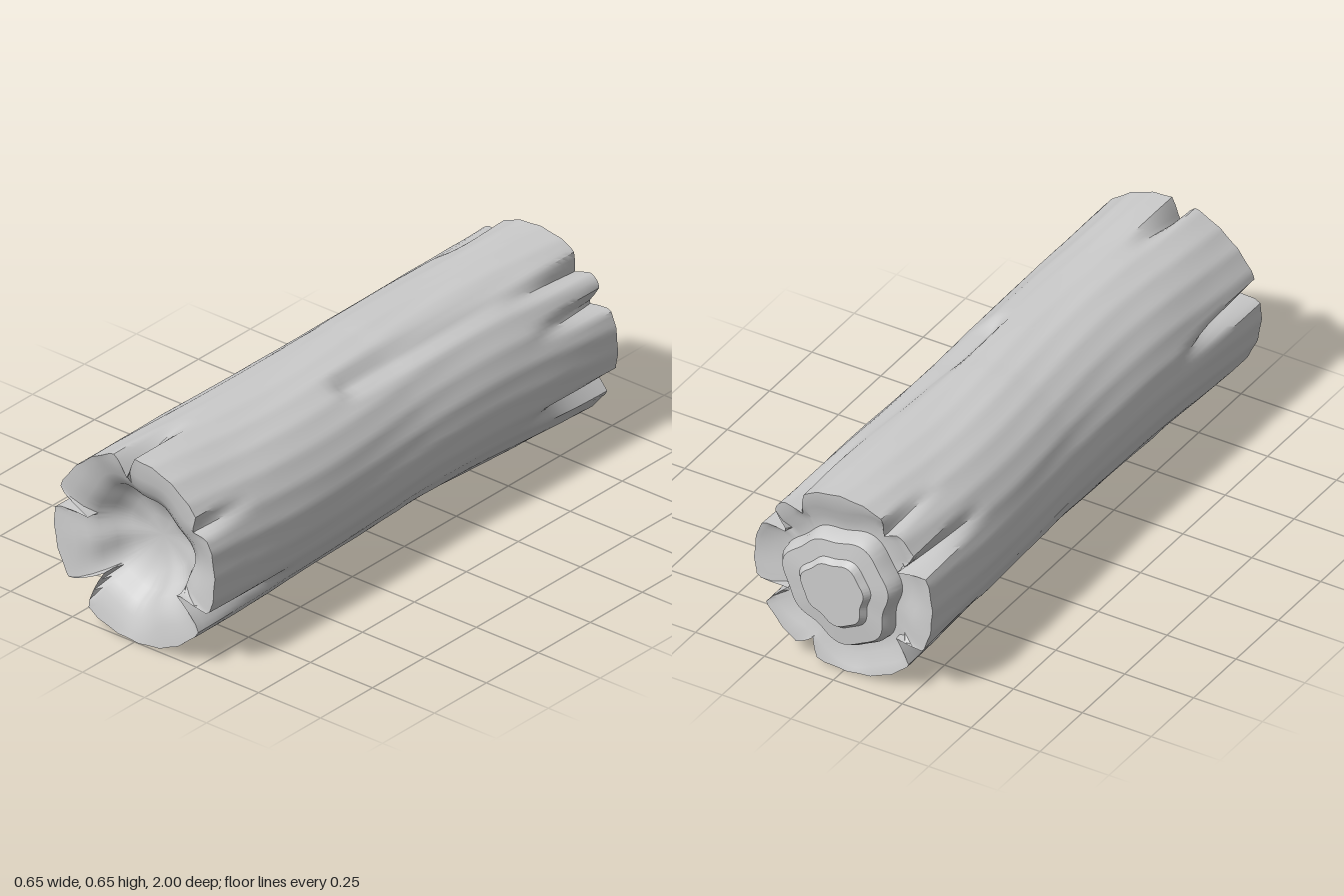
import * as THREE from 'three';
import { toCreasedNormals } from 'three/addons/utils/BufferGeometryUtils.js';

const SIDES = 144;
const RAD = Math.PI / 180;
const material = new THREE.MeshStandardMaterial({ color: 0xcccccc, side: THREE.DoubleSide });

// Splits in the bark: [angle, depth, half width, z at the end, length]
const splits = [
  [165, 0.13, 6, 1, 0.45], [225, 0.15, 9, 1, 0.5], [-29, 0.15, 7, 1, 0.45],
  [97, 0.08, 7, 1, 0.3], [33, 0.05, 7, 1, 0.25],
  [150, 0.1, 7, -0.94, 0.4], [122, 0.05, 6, -0.94, 0.3], [55, 0.06, 8, -0.94, 0.4],
  [31, 0.09, 7, -0.94, 0.35], [-22, 0.11, 8, -0.94, 0.4], [-65, 0.06, 7, -0.94, 0.3],
  [215, 0.09, 8, -0.94, 0.4],
];

const centreY = z => 0.328 + 0.012 * Math.max(0, 1 - Math.abs(z + 0.1) / 0.8);

// Outer radius of the trunk: slim waist, ridged bark, splits and one long groove
function barkRadius(a, z) {
  let r = 0.327 - 0.017 * Math.max(0, 1 - Math.abs(z + 0.05) / 0.95);
  r -= 0.004 * Math.abs(Math.sin(a * 12 + 0.8 * Math.sin(z * 4)));
  r -= 0.005 * (0.5 + 0.5 * Math.sin(a * 5 + z * 3)) * (0.5 + 0.5 * Math.sin(z * 7 + a * 3));
  const gap = deg => Math.abs(Math.atan2(Math.sin(a - deg * RAD), Math.cos(a - deg * RAD))) / RAD;
  for (const [deg, depth, width, end, length] of splits) {
    const along = Math.max(0, 1 - Math.abs(z - end) / length);
    r -= depth * Math.pow(along, 1.3) * Math.max(0, 1 - gap(deg) / width);
  }
  // groove with an abrupt front end
  if (z < 0.22) {
    const along = Math.min(1, (0.22 - z) / 0.06) * Math.max(0, Math.min(1, (z + 0.75) / 0.7));
    r -= 0.03 * along * Math.max(0, 1 - gap(61) / 11);
  }
  return r;
}

// Skins a row of closed rings; point(ring, angle) gives a position
function loft(name, rings, point) {
  const positions = [], index = [];
  rings.forEach((ring, i) => {
    for (let j = 0; j < SIDES; j++) {
      positions.push(...point(ring, (j / SIDES) * Math.PI * 2));
      if (i === rings.length - 1) continue;
      const a = i * SIDES + j, b = i * SIDES + (j + 1) % SIDES;
      index.push(a, a + SIDES, b, b, a + SIDES, b + SIDES);
    }
  });
  const geometry = new THREE.BufferGeometry();
  geometry.setAttribute('position', new THREE.Float32BufferAttribute(positions, 3));
  geometry.setIndex(index);
  const mesh = new THREE.Mesh(toCreasedNormals(geometry, 0.7), material);
  mesh.name = name;
  return mesh;
}

// Rings of an end face never reach outside the split bark
function capPoint(endZ) {
  return ([r, z], a) => {
    const wobble = r > 0.3 ? 1 : 1 + 0.07 * Math.sin(a * 3 + 1.2) + 0.04 * Math.sin(a * 7);
    const radius = Math.min(r * wobble, barkRadius(a, endZ));
    return [radius * Math.cos(a), centreY(endZ) + radius * Math.sin(a), z];
  };
}

export function createModel() {
  const group = new THREE.Group();
  group.name = 'log';

  // Trunk wall
  const stations = [];
  for (let i = 0; i <= 64; i++) stations.push(1 - (1.94 * i) / 64);
  group.add(loft('bark', stations, (z, a) => {
    const r = barkRadius(a, z);
    return [r * Math.cos(a), centreY(z) + r * Math.sin(a), z];
  }));

  // Hollow front end with a rounded lip
  group.add(loft('frontHollow',
    [[0, 0.86], [0.06, 0.86], [0.12, 0.875], [0.165, 0.91], [0.19, 0.955], [0.23, 0.98], [0.28, 0.995], [0.33, 1]],
    capPoint(1)));

  // Back end: rim and shallow groove
  group.add(loft('backRim',
    [[0.33, -0.94], [0.28, -0.935], [0.24, -0.915], [0.195, -0.915]],
    capPoint(-0.94)));

  // Stepped heartwood standing out of the back
  group.add(loft('heartwood',
    [[0.205, -0.9], [0.2, -0.945], [0.185, -0.972], [0.125, -0.978], [0.11, -1], [0, -1]],
    capPoint(-0.94)));

  return group;
}
